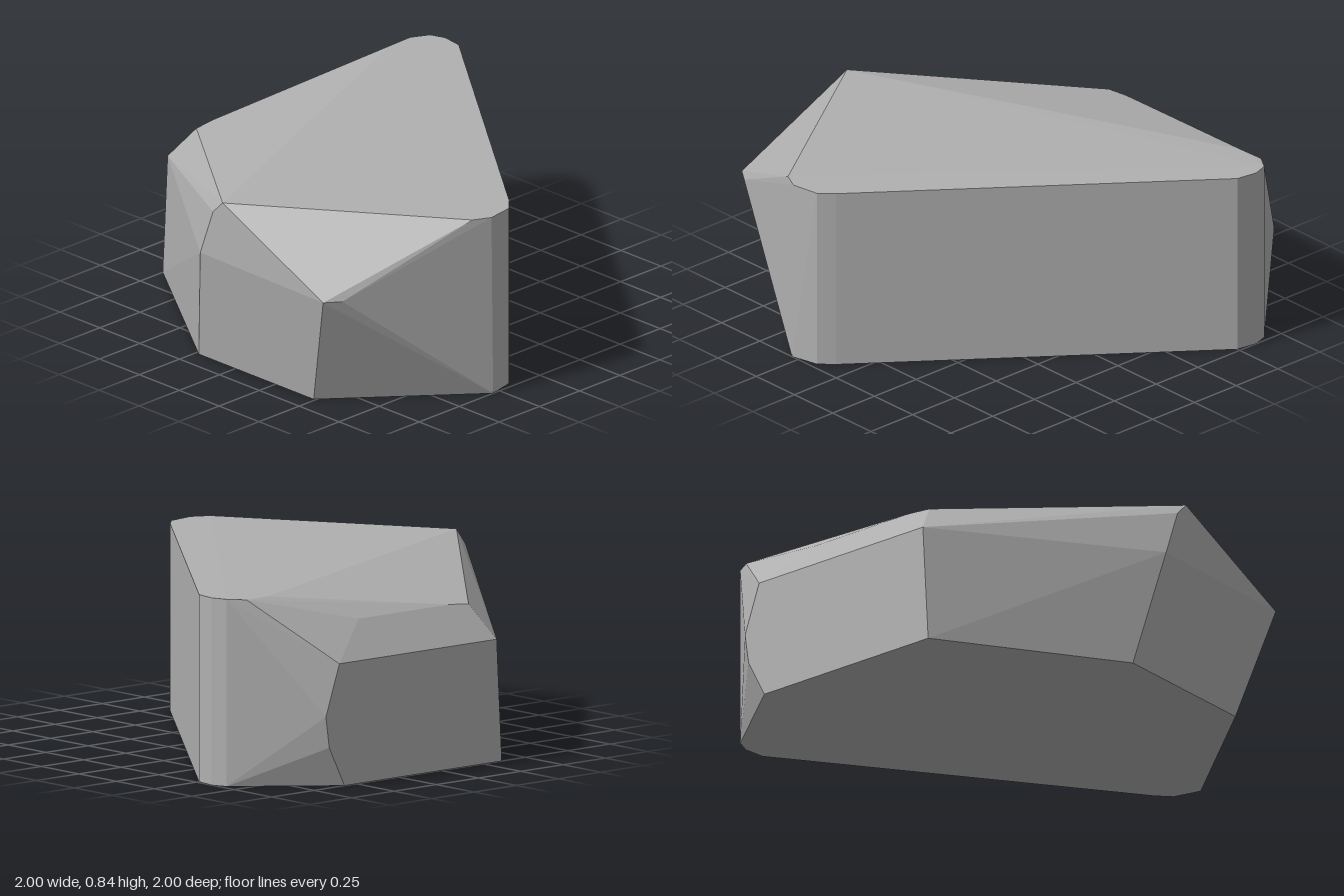
import * as THREE from 'three';
import { ConvexGeometry } from 'three/addons/geometries/ConvexGeometry.js';

export function createModel() {
  const model = new THREE.Group();
  const stone = new THREE.MeshStandardMaterial({ color: 0xb0b0b0 });
  const H = 0.84;

  // Upright edges [x, z]: the rounded corners either side of the long flat face
  const uprights = [
    [0.985, -0.5], [1, -0.6], [0.975, -0.67], [-0.1, 0.91], [-0.16, 0.97],
  ];
  // Rest of the footprint [x, z]
  const base = [
    [0.57, -1], [-0.36, -1], [-0.9, -0.23], [-0.9, 0.49], [-0.29, 1],
  ];
  // Chipped corners [x, y, z]
  const chips = [
    [-0.29, H, 0.99], [-0.37, H, 0.95], [-1, 0.83, 0.02], // front right top edge
    [-1, 0.54, 0.65], [-0.93, 0.54, 0.7],                 // front right overhang
    [-1, 0.77, -0.04], [-1, 0.55, -0.12],                 // right side
    [0.9, 0.835, -0.72], [0.77, 0.835, -0.715],           // back left top
    [-0.27, 0.7, -0.88], [-0.16, 0.71, -0.88], [0.38, 0.71, -0.88], // back bevel
    [-0.33, 0.55, -1], [0.6, 0.55, -1], [0.68, 0.32, -1], [0.66, 0.18, -1], // back face
  ];

  const points = [
    ...uprights.flatMap(([x, z]) => [[x, 0, z], [x, H, z]]),
    ...base.map(([x, z]) => [x, 0, z]),
    ...chips,
  ].map((p) => new THREE.Vector3(...p));

  // Faceted boulder
  const rock = new THREE.Mesh(new ConvexGeometry(points), stone);
  rock.name = 'rock';
  stone.name = 'stone grey';
  model.add(rock);
  return model;
}
